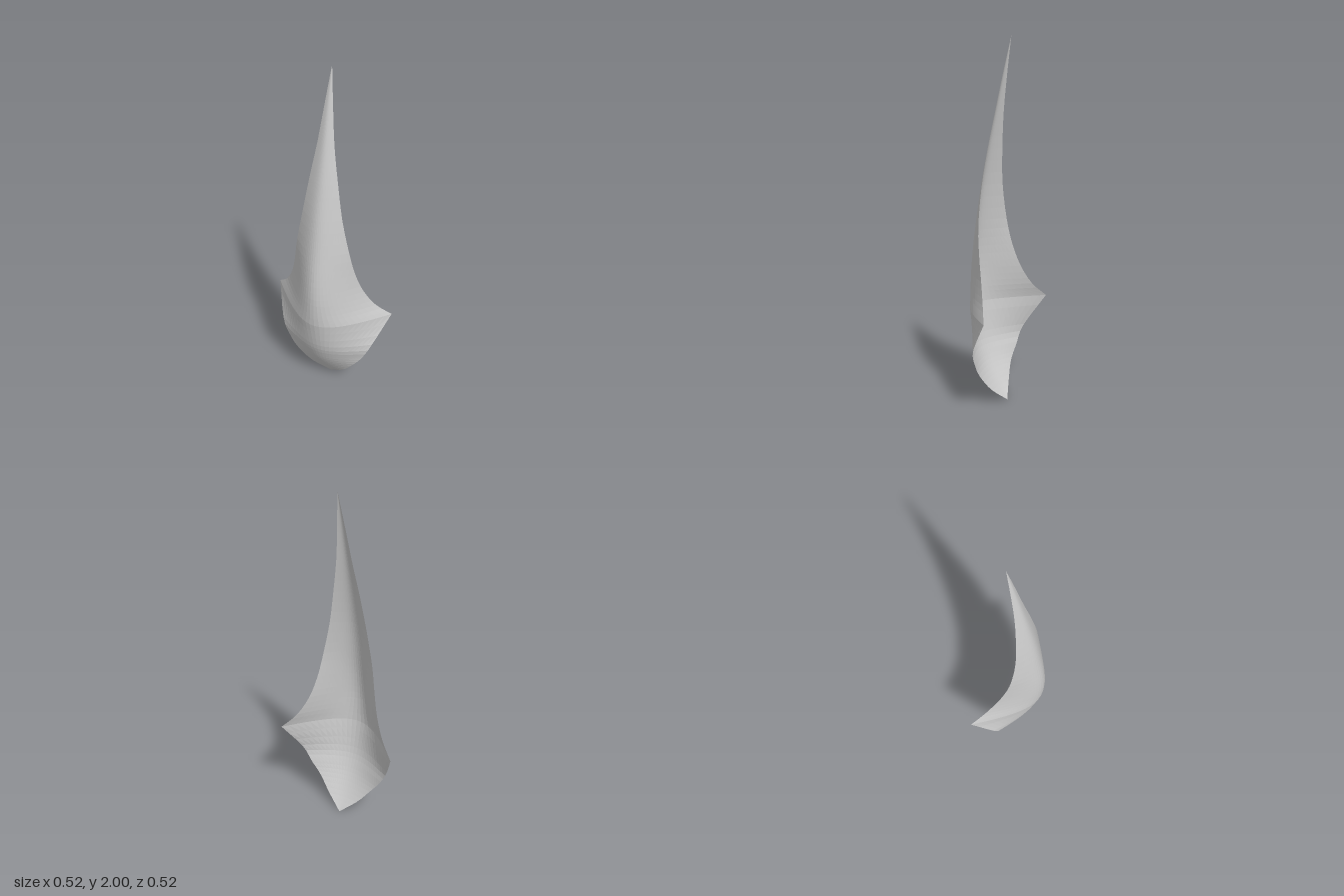
import * as THREE from 'three';

// Rows: height, half width of the rim, depth of the rim, depth of the keel
const LOWER = [
  [0, 0, 0.042, 0.042], [0.08, 0.097, 0.087, 0.097], [0.17, 0.17, 0.113, 0.15],
  [0.25, 0.228, 0.11, 0.187], [0.35, 0.277, 0.093, 0.22], [0.53, 0.35, -0.018, 0.252],
];
const UPPER = [
  [0.53, 0.35, -0.018, 0.252], [0.61, 0.274, 0.033, 0.256], [0.72, 0.217, 0.076, 0.256],
  [0.85, 0.18, 0.11, 0.245], [1.0, 0.152, 0.131, 0.223], [1.2, 0.113, 0.134, 0.19],
  [1.4, 0.08, 0.116, 0.15], [1.6, 0.047, 0.088, 0.106], [1.8, 0.023, 0.053, 0.06],
  [2, 0, 0.014, 0.014],
];
const COLS = 24;

// Rounded V profile: 0 at the keel, 1 at the rim
const bend = (t, k = 0.55) => (Math.hypot(k, t) - k) / (Math.hypot(k, 1) - k);

// Smooth rows through one half of the blade
function sampleRows(rows, steps) {
  const spline = (f) => new THREE.CatmullRomCurve3(rows.map(f), false, 'catmullrom', 0.5);
  const rim = spline(([y, s, d]) => new THREE.Vector3(s, y, d));
  const keel = spline(([y, , , k]) => new THREE.Vector3(0, y, k));
  return Array.from({ length: steps + 1 }, (_, i) => [rim.getPoint(i / steps), keel.getPoint(i / steps)]);
}

function bladeGeometry() {
  // The two halves meet in a sharp point at the side tips
  const rows = [...sampleRows(LOWER, 16), ...sampleRows(UPPER, 27).slice(1)];
  const positions = [];
  const index = [];
  rows.forEach(([rim, keel], r) => {
    for (let c = 0; c <= COLS; c++) {
      const t = (2 * c) / COLS - 1;
      positions.push(t * rim.x, rim.y, THREE.MathUtils.lerp(keel.z, rim.z, bend(t)));
      if (r === 0 || c === 0) continue;
      const d = r * (COLS + 1) + c;
      const b = d - COLS - 1;
      // End rows shrink to a point, so they need one triangle per column
      if (r > 1) index.push(b - 1, b, d);
      if (r < rows.length - 1) index.push(b - 1, d, d - 1);
      else continue;
    }
  });
  const geometry = new THREE.BufferGeometry();
  geometry.setAttribute('position', new THREE.Float32BufferAttribute(positions, 3));
  geometry.setIndex(index);
  geometry.computeVertexNormals();
  return geometry;
}

export function createModel() {
  const group = new THREE.Group();
  group.name = 'curvedBlade';
  const material = new THREE.MeshStandardMaterial({
    color: 0xcccccc, flatShading: true, side: THREE.DoubleSide,
  });
  const blade = new THREE.Mesh(bladeGeometry(), material);
  blade.name = 'bladeShell';
  // The keel points between the front and the right side
  blade.rotation.y = -Math.PI / 4;
  group.add(blade);
  return group;
}
